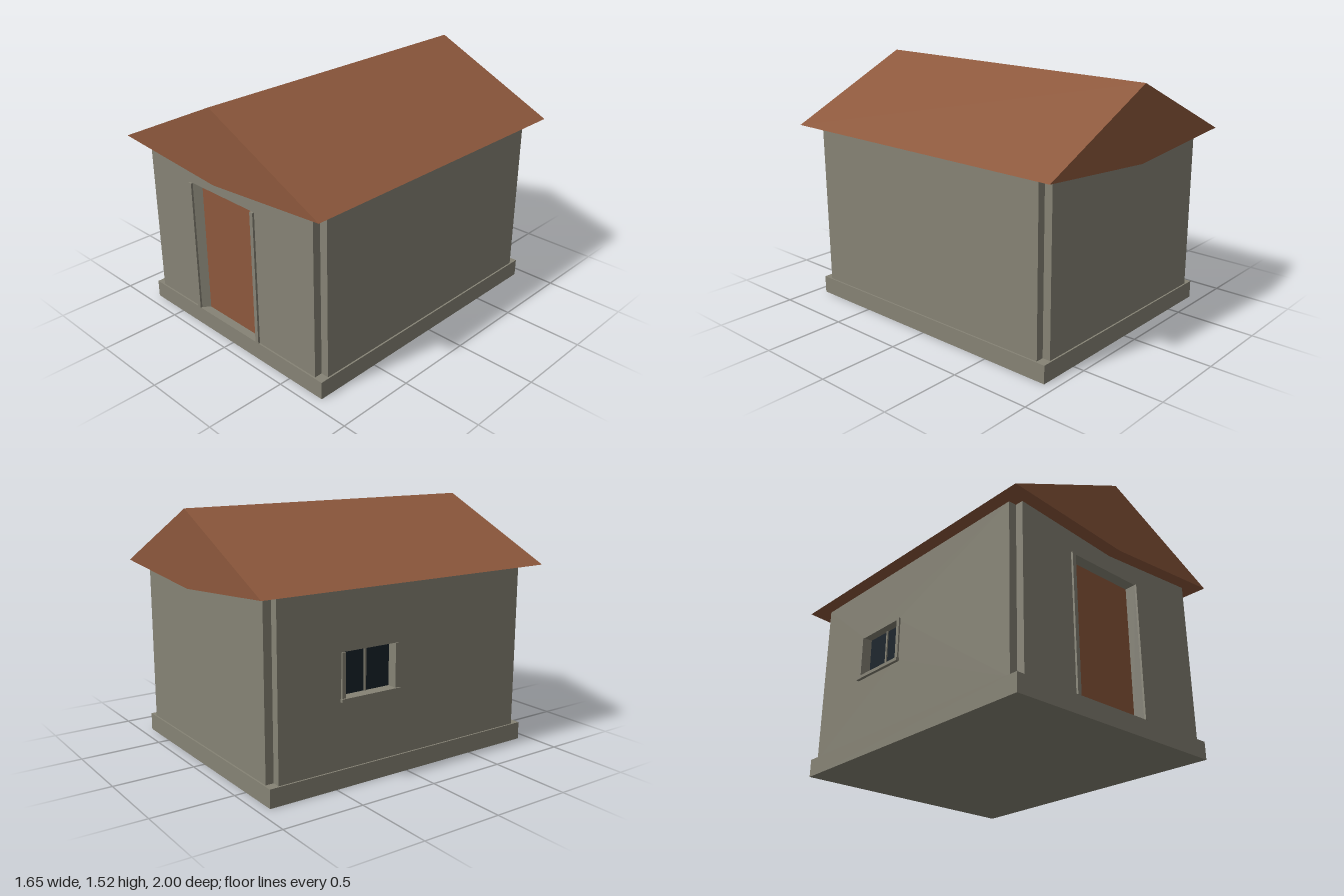
import * as THREE from 'three';

const mat = (name, color) => {
  const m = new THREE.MeshStandardMaterial({ color });
  m.name = name;
  return m;
};

export function createModel() {
  const stone = mat('stone grey', 0x868375);
  const brown = mat('tile brown', 0x8d583c);
  const glass = mat('dark glass', 0x18222a);
  const house = new THREE.Group();
  house.name = 'house';

  const add = (name, geo, material) => {
    const mesh = new THREE.Mesh(geo, material);
    mesh.name = name;
    house.add(mesh);
    return mesh;
  };
  // Box given by its lower and upper limits on each axis
  const box = (name, material, x0, x1, y0, y1, z0, z1) =>
    add(name, new THREE.BoxGeometry(x1 - x0, y1 - y0, z1 - z0)
      .translate((x0 + x1) / 2, (y0 + y1) / 2, (z0 + z1) / 2), material);
  const rect = (u0, u1, y0, y1, Kind) =>
    new Kind([[u0, y0], [u1, y0], [u1, y1], [u0, y1]].map(p => new THREE.Vector2(...p)));
  // Upright slab with one opening
  const pierced = (half, hole, depth) => {
    const s = rect(-half, half, 0.1, 1.125, THREE.Shape);
    s.holes.push(rect(...hole, THREE.Path));
    return new THREE.ExtrudeGeometry(s, { depth, bevelEnabled: false });
  };

  // Plinth, inner core and four walls, leaving a notch at every corner
  box('plinth', stone, -0.76, 0.76, 0, 0.11, -0.93, 0.93);
  box('core', stone, -0.69, 0.69, 0.1, 1.12, -0.87, 0.87);
  box('backWall', stone, -0.7, 0.7, 0.1, 1.125, -0.92, -0.87);
  box('leftWall', stone, 0.69, 0.75, 0.1, 1.125, -0.87, 0.87);
  add('frontWall', pierced(0.7, [-0.305, 0.215, 0.105, 0.96], 0.05).translate(0, 0, 0.87), stone);
  add('rightWall', pierced(0.87, [-0.44, -0.095, 0.52, 0.78], 0.06)
    .rotateY(-Math.PI / 2).translate(-0.69, 0, 0), stone);

  // Door, its splayed reveal and the two trim strips
  box('door', brown, -0.27, 0.183, 0.11, 0.935, 0.871, 0.878);
  const outer = [[-0.305, 0.11], [-0.305, 0.96], [0.215, 0.96], [0.215, 0.11]];
  const inner = [[-0.27, 0.11], [-0.27, 0.935], [0.183, 0.935], [0.183, 0.11]];
  const pos = [];
  for (let i = 0; i < 3; i++) {
    const a = [...outer[i], 0.92], b = [...outer[i + 1], 0.92];
    const c = [...inner[i + 1], 0.878], d = [...inner[i], 0.878];
    pos.push(...a, ...d, ...c, ...a, ...c, ...b);
  }
  const reveal = new THREE.BufferGeometry();
  reveal.setAttribute('position', new THREE.Float32BufferAttribute(pos, 3));
  // Face the reveal outwards into the opening
  reveal.computeVertexNormals();
  if (reveal.attributes.normal.getX(0) < 0) {
    for (let i = 0; i < pos.length; i += 9) {
      const t = pos.slice(i + 3, i + 6);
      pos.splice(i + 3, 6, ...pos.slice(i + 6, i + 9), ...t);
    }
    reveal.setAttribute('position', new THREE.Float32BufferAttribute(pos, 3));
    reveal.computeVertexNormals();
  }
  add('doorReveal', reveal, stone);
  for (const x of [-0.33, 0.215]) box('doorTrim', stone, x, x + 0.025, 0.11, 0.96, 0.915, 0.933);

  // Window in the right wall
  box('windowGlass', glass, -0.697, -0.689, 0.52, 0.78, -0.44, -0.095);
  box('windowBar', stone, -0.705, -0.69, 0.52, 0.78, -0.274, -0.261);
  for (const z of [-0.465, -0.095]) box('windowTrim', stone, -0.76, -0.745, 0.52, 0.78, z, z + 0.025);
  box('windowSill', stone, -0.77, -0.74, 0.5, 0.52, -0.47, -0.065);

  // Gabled roof with a shallow V underside
  const gable = new THREE.Shape([[-0.825, 1.135], [0, 1.07], [0.825, 1.135], [0, 1.523]]
    .map(p => new THREE.Vector2(...p)));
  add('roof', new THREE.ExtrudeGeometry(gable, { depth: 2, bevelEnabled: false })
    .translate(0, 0, -1), brown);

  return house;
}
